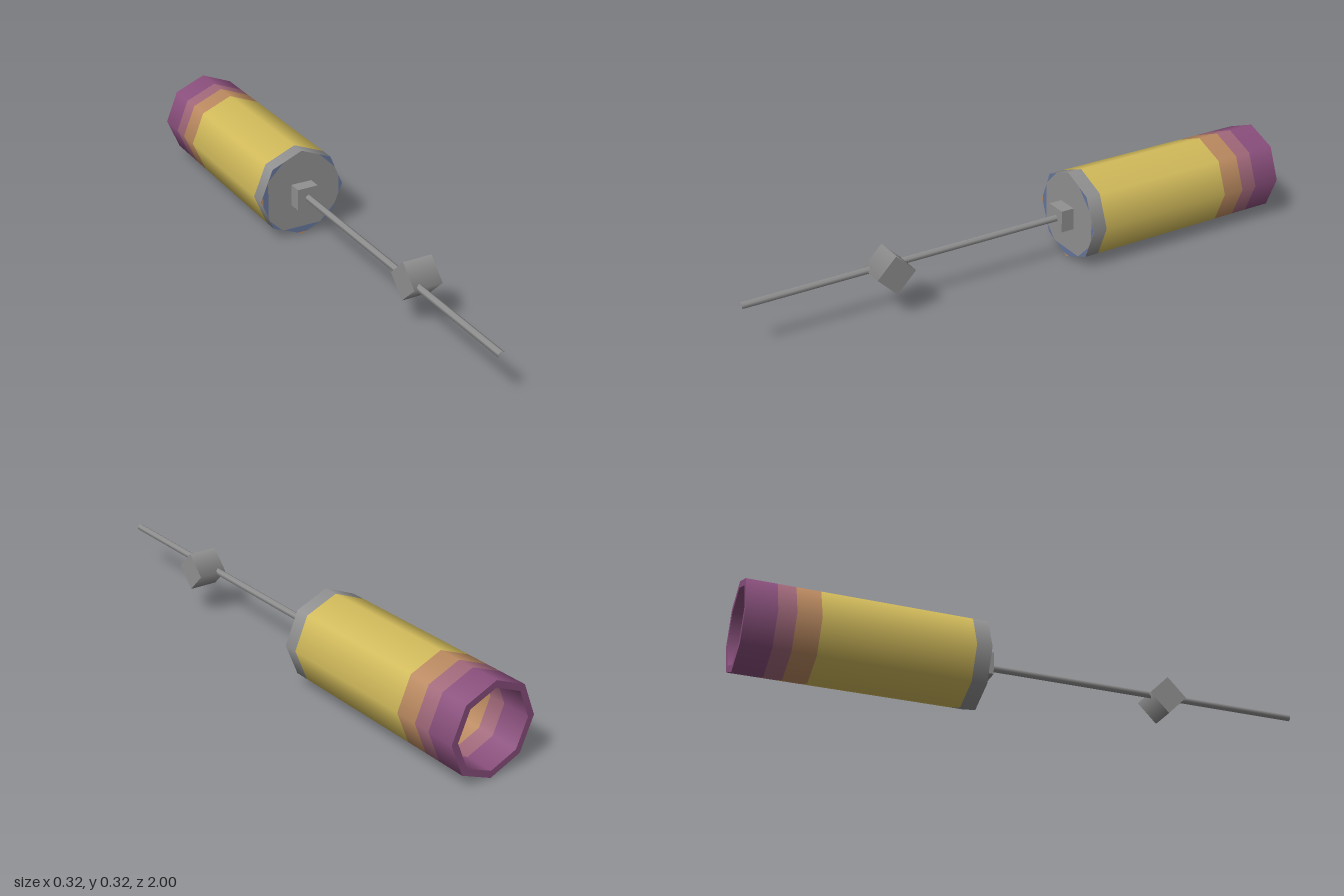
import * as THREE from 'three';

const mat = (name, color, side = THREE.FrontSide) => {
  const m = new THREE.MeshStandardMaterial({ color, side });
  m.name = name;
  return m;
};

export function createModel() {
  const grey = mat('grey', 0x919191);
  const yellow = mat('yellow', 0xd2bb5b);
  const orange = mat('orange', 0xbb8a60);
  const mauve = mat('mauve', 0xa1687a);
  const purple = mat('purple', 0x8a4f7d);
  const blue = mat('blue', 0x66759c);

  const model = new THREE.Group();
  model.name = 'canisterOnRod';
  const axisY = 0.1625, R = 0.16, inner = 0.136, front = -0.197;

  const add = (name, geometry, material, x = 0, y = 0, z = 0, parent = model) => {
    const mesh = new THREE.Mesh(geometry, material);
    mesh.name = name;
    mesh.position.set(x, y, z);
    parent.add(mesh);
    return mesh;
  };

  // Octagonal canister, open at the back: each band is one outer and one inner wall
  const canister = new THREE.Group();
  canister.name = 'canister';
  canister.position.y = axisY;
  model.add(canister);
  const ring = (name, material, r0, z0, r1, z1) => {
    const profile = [new THREE.Vector2(r0, -z0), new THREE.Vector2(r1, -z1)];
    const g = new THREE.LatheGeometry(profile, 8).rotateX(-Math.PI / 2);
    add(name, g, material, 0, 0, 0, canister);
  };
  const bands = [
    ['collar', grey, front, -0.25],
    ['body', yellow, -0.25, -0.76],
    ['orangeBand', orange, -0.76, -0.84],
    ['mauveBand', mauve, -0.84, -0.9],
    ['purpleBand', purple, -0.9, -1],
  ];
  bands.forEach(([name, material, z0, z1], i) => {
    ring(name, material, R, z0, R, z1);
    if (i > 0) ring(name + 'Inside', material, inner, z1, inner, z0);
  });
  ring('frontCap', grey, 0, front, R, front);
  ring('backRim', purple, R, -1, inner, -1);
  ring('innerFloor', yellow, inner, -0.25, 0, -0.25);

  // Painted corners of the front cap: corner number and reach along its two edges
  const corner = (i) => new THREE.Vector2(R * Math.cos(i * Math.PI / 4), R * Math.sin(i * Math.PI / 4));
  const paintCorner = (name, material, i, reach, lift) => {
    const c = corner(i);
    const shape = new THREE.Shape([
      c, c.clone().lerp(corner(i + 1), reach), c.clone().lerp(corner(i - 1), reach),
    ]);
    add(name, new THREE.ShapeGeometry(shape), material, 0, 0, front + lift, canister);
  };
  [[0, 0.3], [1, 0.38], [3, 0.36], [4, 0.6], [5, 0.28], [6, 0.64], [7, 0.38]]
    .forEach(([i, reach]) => paintCorner('blueCorner', blue, i, reach, 0.001));
  [4, 6].forEach((i) => paintCorner('orangeTip', orange, i, 0.17, 0.002));

  // Square mount, open thin rod and the offset four-sided block on it
  add('mount', new THREE.BoxGeometry(0.078, 0.079, 0.05), grey, -0.002, axisY, -0.174);
  const rod = new THREE.CylinderGeometry(0.0125, 0.0125, 1.16, 6, 1, true).rotateX(Math.PI / 2);
  add('rod', rod, grey, 0, axisY, 0.42);
  const block = new THREE.CylinderGeometry(0.0685, 0.0685, 0.104, 4).rotateZ(Math.PI / 2);
  add('block', block, grey, 0.028, axisY, 0.505);

  return model;
}
